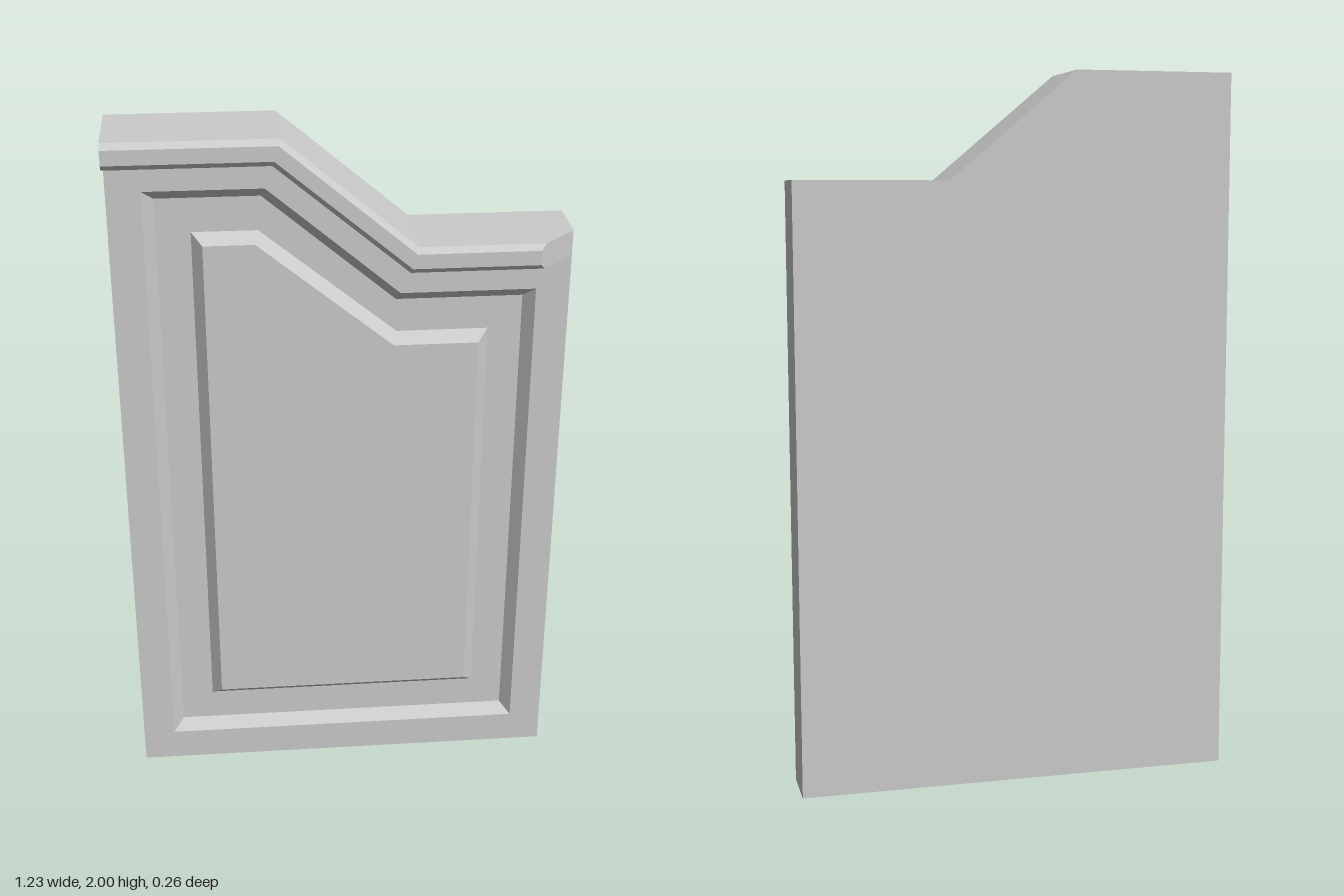
import * as THREE from 'three';

// Skin equal-length rings of points, closing both ends; project maps a point to the end plane
function loft(name, rings, project) {
  const pos = [];
  const tri = (...pts) => pts.forEach((p) => pos.push(...p));
  const n = rings[0].length;
  for (let i = 0; i < rings.length - 1; i++) {
    for (let j = 0; j < n; j++) {
      const k = (j + 1) % n;
      const a = rings[i][j], b = rings[i][k], c = rings[i + 1][k], d = rings[i + 1][j];
      tri(a, b, c);
      tri(a, c, d);
    }
  }
  const closeEnd = (ring, flip) => {
    const flat = ring.map((p) => new THREE.Vector2(...project(p)));
    for (const [a, b, c] of THREE.ShapeUtils.triangulateShape(flat, [])) {
      if (flip) tri(ring[a], ring[c], ring[b]);
      else tri(ring[a], ring[b], ring[c]);
    }
  };
  closeEnd(rings[0], true);
  closeEnd(rings[rings.length - 1], false);
  const geometry = new THREE.BufferGeometry();
  geometry.setAttribute('position', new THREE.Float32BufferAttribute(pos, 3));
  geometry.computeVertexNormals();
  const mesh = new THREE.Mesh(geometry, new THREE.MeshStandardMaterial({ color: 0xcccccc, flatShading: true }));
  mesh.name = name;
  return mesh;
}

// Rectangle with a stepped, sloping top, at depth z
function outline(half, bottom, topL, topR, xL, xR, z) {
  return [
    [-half, bottom, z], [half, bottom, z], [half, topR, z],
    [xR, topR, z], [xL, topL, z], [-half, topL, z],
  ];
}

export function createModel() {
  const group = new THREE.Group();
  group.name = 'steppedPanel';
  const half = 0.617, front = 0.025, back = -0.13, floor = -0.007;
  const xL = -0.167, xR = 0.19, topL = 2, topR = 1.7;

  // Panel: slab, frame face, bevelled recess, raised field
  group.add(loft('panel', [
    outline(half, 0, topL, topR, xL, xR, back),
    outline(half, 0, topL, topR, xL, xR, front),
    outline(0.525, 0.095, 1.84, 1.535, -0.205, 0.155, front),
    outline(0.495, 0.125, 1.81, 1.505, -0.215, 0.146, floor),
    outline(0.402, 0.218, 1.715, 1.41, -0.224, 0.149, floor),
    outline(0.373, 0.247, 1.686, 1.381, -0.234, 0.139, front),
  ], (p) => [p[0], p[1]]));

  // Top rail: chamfered profile [z, drop below the top], mitred at the +x end
  const profile = [[front, 0], [0.115, 0], [0.13, 0.015], [0.13, 0.055], [0.117, 0.07], [front, 0.07]];
  const station = (xAt, top) => profile.map(([z, drop]) => [xAt(z, drop), top - drop, z]);
  group.add(loft('topRail', [
    station(() => -half, topL),
    station((z, drop) => xL - 0.3 * drop, topL),
    station((z, drop) => xR - 0.3 * drop, topR),
    station((z) => half + front - z, topR),
  ], (p) => [p[1], p[2]]));

  return group;
}
